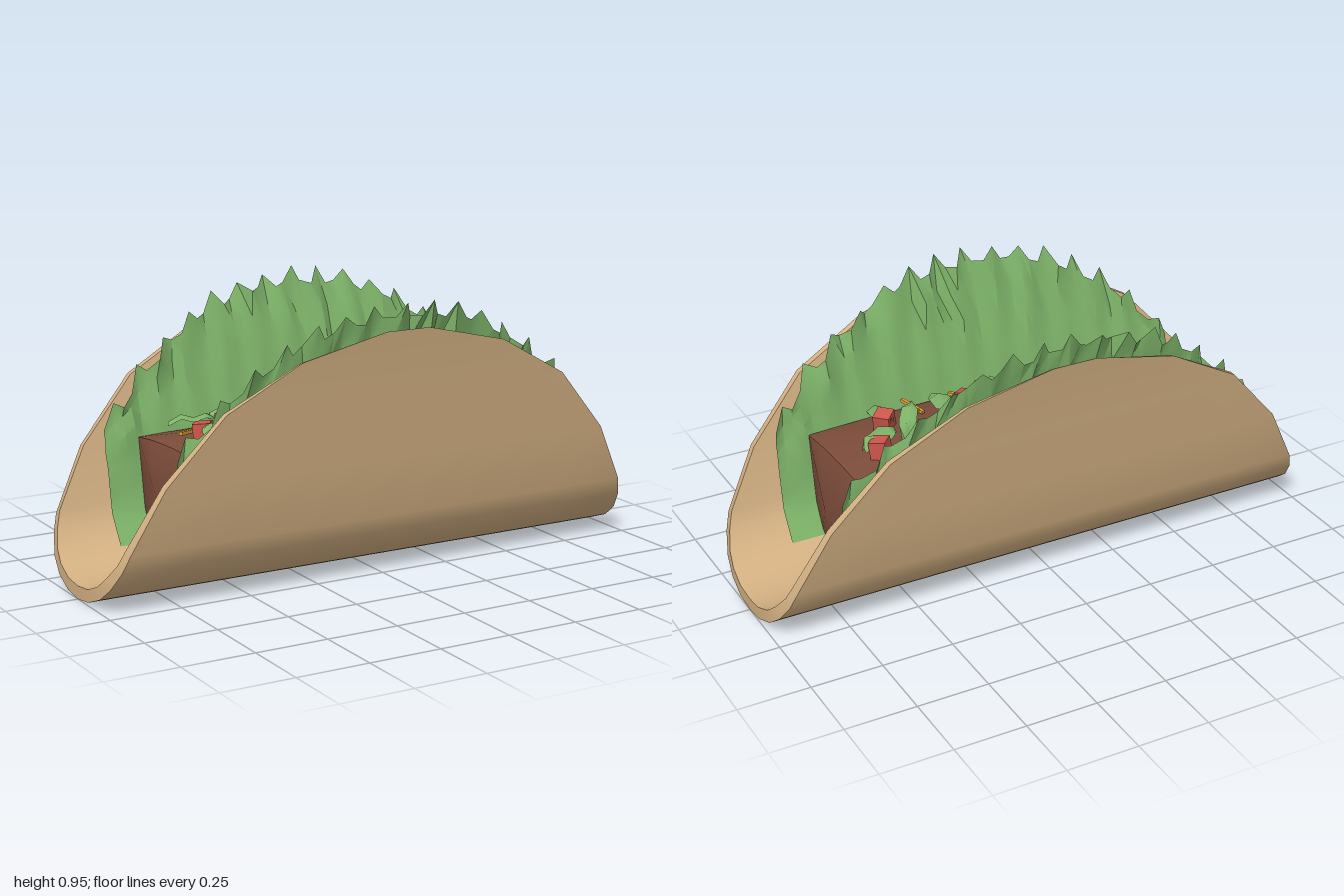
import * as THREE from 'three';
import { toCreasedNormals } from 'three/addons/utils/BufferGeometryUtils.js';

const material = (name, color, extra = {}) => {
  const m = new THREE.MeshStandardMaterial({ color, ...extra });
  m.name = name;
  return m;
};

// Joins closed rings of points into a solid, with a pointed cap at each end.
function loft(rings, startTip, endTip, crease) {
  const n = rings[0].length;
  const pos = [];
  const tri = (a, b, c) => pos.push(...a, ...b, ...c);
  for (let j = 0; j < n; j++) {
    const k = (j + 1) % n;
    for (let i = 0; i < rings.length - 1; i++) {
      const a = rings[i], b = rings[i + 1];
      tri(a[j], a[k], b[k]);
      tri(a[j], b[k], b[j]);
    }
    const first = rings[0], last = rings[rings.length - 1];
    tri(first[k], first[j], startTip);
    tri(last[j], last[k], endTip);
  }
  const g = new THREE.BufferGeometry();
  g.setAttribute('position', new THREE.Float32BufferAttribute(pos, 3));
  return toCreasedNormals(g, crease);
}

const lerpTable = (table, t) => {
  let i = 0;
  while (i < table.length - 2 && t > table[i + 1][0]) i++;
  const [a, b] = [table[i], table[i + 1]];
  return a[1] + (b[1] - a[1]) * (t - a[0]) / (b[0] - a[0]);
};

// Folded shell: outer z, outer y, inner z, inner y, half length
function shellGeometry() {
  const half = [
    [0, 0, 0, .045, 1], [.08, .01, .075, .053, 1], [.16, .04, .145, .08, .995],
    [.22, .085, .195, .12, .985], [.27, .15, .238, .17, .965], [.293, .21, .262, .225, .945],
    [.33, .42, .303, .425, .835], [.365, .64, .342, .64, .64], [.39, .785, .372, .78, .38],
    [.405, .857, .392, .85, .08],
  ];
  const back = half.slice(1).reverse().map(([a, b, c, d, w]) => [-a, b, -c, d, w]);
  const cols = 8;
  const rings = [...back, ...half].map(([oz, oy, iz, iy, w]) => {
    const ring = [];
    for (let i = 0; i <= cols; i++) ring.push([w * (2 * i / cols - 1), oy, oz]);
    for (let i = cols; i >= 0; i--) ring.push([w * (2 * i / cols - 1), iy, iz]);
    return ring;
  });
  return loft(rings, [0, .855, -.4], [0, .855, .4], 0.75);
}

// Height of the filling's domed top
const fillTop = (x, z) => .455 + .055 * (1 - (z / .265) ** 2) * (1 - .7 * (x / .65) ** 2) - .015 * (x / .65) ** 2;

function fillingGeometry() {
  const under = [[.25, .35], [.225, .2], [.18, .115], [.1, .065], [0, .05],
    [-.1, .065], [-.18, .115], [-.225, .2], [-.25, .35]];
  const rings = [];
  for (const x of [-.65, -.55, -.4, -.2, 0, .2, .4, .55, .65]) {
    const ring = [];
    for (let i = 0; i <= 6; i++) {
      const z = .265 * (i / 3 - 1);
      ring.push([x, fillTop(x, z), z]);
    }
    for (const [z, y] of under) ring.push([x, y, z]);
    rings.push(ring);
  }
  return loft(rings, [-.715, .3, 0], [.715, .3, 0], 0.7);
}

// Frilled leaf lining one wall, ragged along the top
function leafGeometry(random) {
  const cols = 44, rows = 8;
  const wall = [[.1, .165], [.2, .23], [.47, .278], [.7, .326], [.85, .368], [.96, .405]];
  const g = new THREE.PlaneGeometry(1, 1, cols, rows);
  const p = g.attributes.position;
  for (let r = 0; r <= rows; r++) {
    for (let c = 0; c <= cols; c++) {
      const i = r * (cols + 1) + c;
      const x = .77 * (2 * c / cols - 1);
      const v = 1 - r / rows;
      const spike = v > .8 ? (c % 3 === 1 ? .03 : -.02) * (.6 + .7 * random()) * (v === 1 ? 1 : .2) : 0;
      const y = .1 + v * (.815 - .42 * Math.abs(x / .77) ** 2.2) + spike;
      const frill = (v > .7 ? .013 * (random() * 2 - 1) : 0) - .014 * v * v * (1 + Math.sin(c * 1.7));
      p.setXYZ(i, x + (v > .8 && c > 0 && c < cols ? .01 * (random() - .5) : 0), y, lerpTable(wall, y) + frill);
    }
  }
  g.computeVertexNormals();
  return toCreasedNormals(g, 0.6);
}

// Small crinkled strip of leaf lying flat, tapered at both ends
function shredGeometry() {
  const g = new THREE.PlaneGeometry(1, 1, 4, 2).rotateX(-Math.PI / 2);
  const p = g.attributes.position;
  for (let i = 0; i < p.count; i++) {
    const col = i % 5, row = Math.floor(i / 5);
    p.setZ(i, p.getZ(i) * [.25, .9, 1, .8, .2][col]);
    p.setY(i, (row === 1 ? .015 : 0) + [-.015, .01, 0, .015, -.01][col]);
  }
  return toCreasedNormals(g, 0.2);
}

export function createModel() {
  const shellMat = material('toasted shell', 0xd4b183);
  const meatMat = material('brown filling', 0x7c4c3a);
  const leafMat = material('lettuce green', 0x7fb56a, { side: THREE.DoubleSide });
  const tomatoMat = material('tomato red', 0xcc564b);
  const cheeseMat = material('cheese yellow', 0xd9a030);

  let seed = 7;
  const random = () => (seed = (seed * 16807) % 2147483647) / 2147483647;

  const model = new THREE.Group();
  model.name = 'filledFoldedShell';
  const add = (parent, name, geometry, mat) => {
    const mesh = new THREE.Mesh(geometry, mat);
    mesh.name = name;
    parent.add(mesh);
    return mesh;
  };
  const group = (name) => {
    const g = new THREE.Group();
    g.name = name;
    model.add(g);
    return g;
  };

  add(model, 'shell', shellGeometry(), shellMat);
  add(model, 'meatFilling', fillingGeometry(), meatMat);

  // Lettuce leaves along both walls
  add(model, 'frontLettuceLeaf', leafGeometry(random), leafMat);
  add(model, 'backLettuceLeaf', leafGeometry(random), leafMat).rotation.y = Math.PI;

  // Lettuce shreds: x, z, length, width, turn
  const shreds = group('lettuceShreds');
  const shredShape = shredGeometry();
  for (const [x, z, l, w, a] of [
    [-.5, -.15, .17, .08, -.4], [-.36, -.13, .17, .07, -.2], [-.5, .04, .16, .08, .3],
    [-.24, -.05, .14, .06, .9], [-.1, -.07, .2, .07, .1], [.02, .08, .2, .06, 1.4],
    [.12, -.13, .2, .1, 1.4], [.22, .08, .23, .08, 1.6], [.37, .07, .18, .06, 1],
    [.42, .18, .17, .07, 1.6], [.5, .02, .17, .08, .5], [-.2, .06, .17, .06, -.6],
    [.42, -.12, .16, .07, -.7],
  ]) {
    const s = add(shreds, 'lettuceShred', shredShape, leafMat);
    s.position.set(x, fillTop(x, z) + .03, z);
    s.rotation.set((random() - .5) * .5, a, (random() - .5) * .4);
    s.scale.set(l, 1, w);
  }

  // Diced tomato: x, z
  const tomatoes = group('tomatoDice');
  const dice = new THREE.BoxGeometry(.058, .068, .058);
  for (const [x, z] of [
    [-.54, 0], [-.43, -.04], [-.27, -.1], [-.16, .08], [-.32, .12], [-.02, 0],
    [.07, 0], [.14, .09], [.24, -.11], [.32, -.07], [.52, -.03], [.43, .13],
  ]) {
    const t = add(tomatoes, 'tomatoCube', dice, tomatoMat);
    t.position.set(x, fillTop(x, z) + .025, z);
    t.rotation.set((random() - .5) * .4, random() * 1.5, (random() - .5) * .4);
  }

  // Grated cheese: x, z, turn
  const cheese = group('cheeseShreds');
  const strip = new THREE.BoxGeometry(.1, .012, .012);
  for (const [x, z, a] of [
    [.4, -.2, .5], [.38, -.17, -.8], [.41, -.18, 1.2], [-.52, .16, -1], [-.24, .15, -.8],
    [-.2, .17, -.5], [.06, .18, 1], [.13, .15, -1], [.3, .18, -1.2], [.35, .08, .7],
    [-.22, .02, .4], [-.14, -.06, .8], [-.3, -.14, -.4], [.46, -.1, .9], [-.06, -.1, .3],
    [.35, .13, 1.1], [-.57, -.05, .6], [-.16, .1, 1.2],
  ]) {
    const c = add(cheese, 'cheeseShred', strip, cheeseMat);
    c.position.set(x, fillTop(x, z) + .025, z);
    c.rotation.set(0, a, (random() - .5) * .4);
  }

  return model;
}
